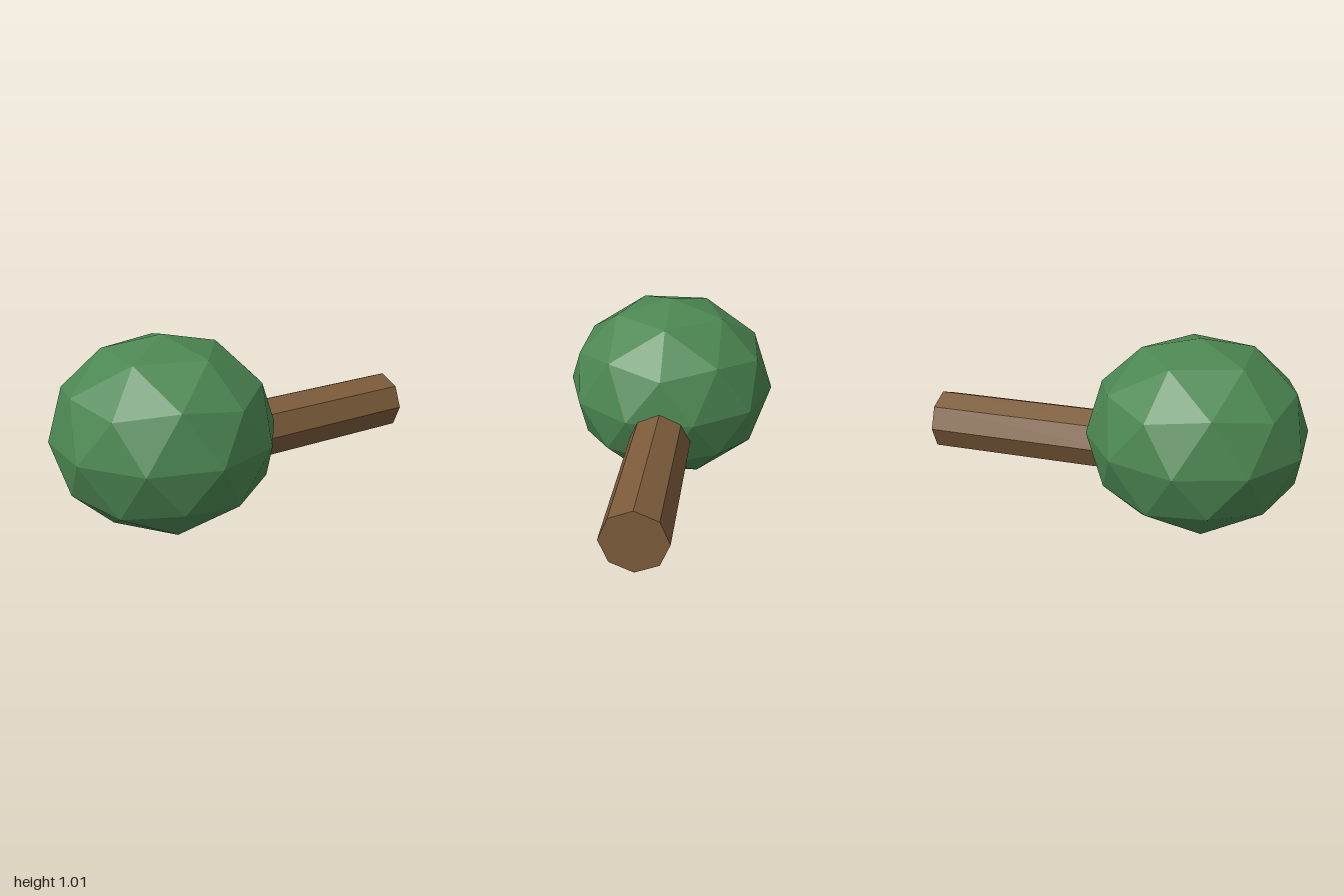
import * as THREE from 'three';

export function createModel() {
  const group = new THREE.Group();
  const leafGreen = new THREE.MeshStandardMaterial({ color: 0x4c8752, flatShading: true });
  leafGreen.name = 'leafGreen';
  const barkBrown = new THREE.MeshStandardMaterial({ color: 0x7d5c3b, flatShading: true });
  barkBrown.name = 'barkBrown';

  // Faceted crown: icosphere with a corner turned to the top, slightly squashed
  const crownGeo = new THREE.IcosahedronGeometry(1, 1);
  crownGeo.rotateX(-Math.atan((1 + Math.sqrt(5)) / 2));
  crownGeo.rotateY(Math.PI / 2);
  crownGeo.scale(0.577, 0.507, 0.577);
  crownGeo.computeVertexNormals();
  const crown = new THREE.Mesh(crownGeo, leafGreen);
  crown.name = 'crown';
  crown.position.set(-0.45, 0.507, 0);
  group.add(crown);

  // Eight-sided trunk lying along x, its inner end buried in the crown
  const start = -0.15, end = 1;
  const trunkGeo = new THREE.CylinderGeometry(0.162, 0.162, end - start, 8);
  trunkGeo.rotateZ(-Math.PI / 2);
  const trunk = new THREE.Mesh(trunkGeo, barkBrown);
  trunk.name = 'trunk';
  trunk.position.set((start + end) / 2, 0.401, 0);
  group.add(trunk);

  return group;
}
